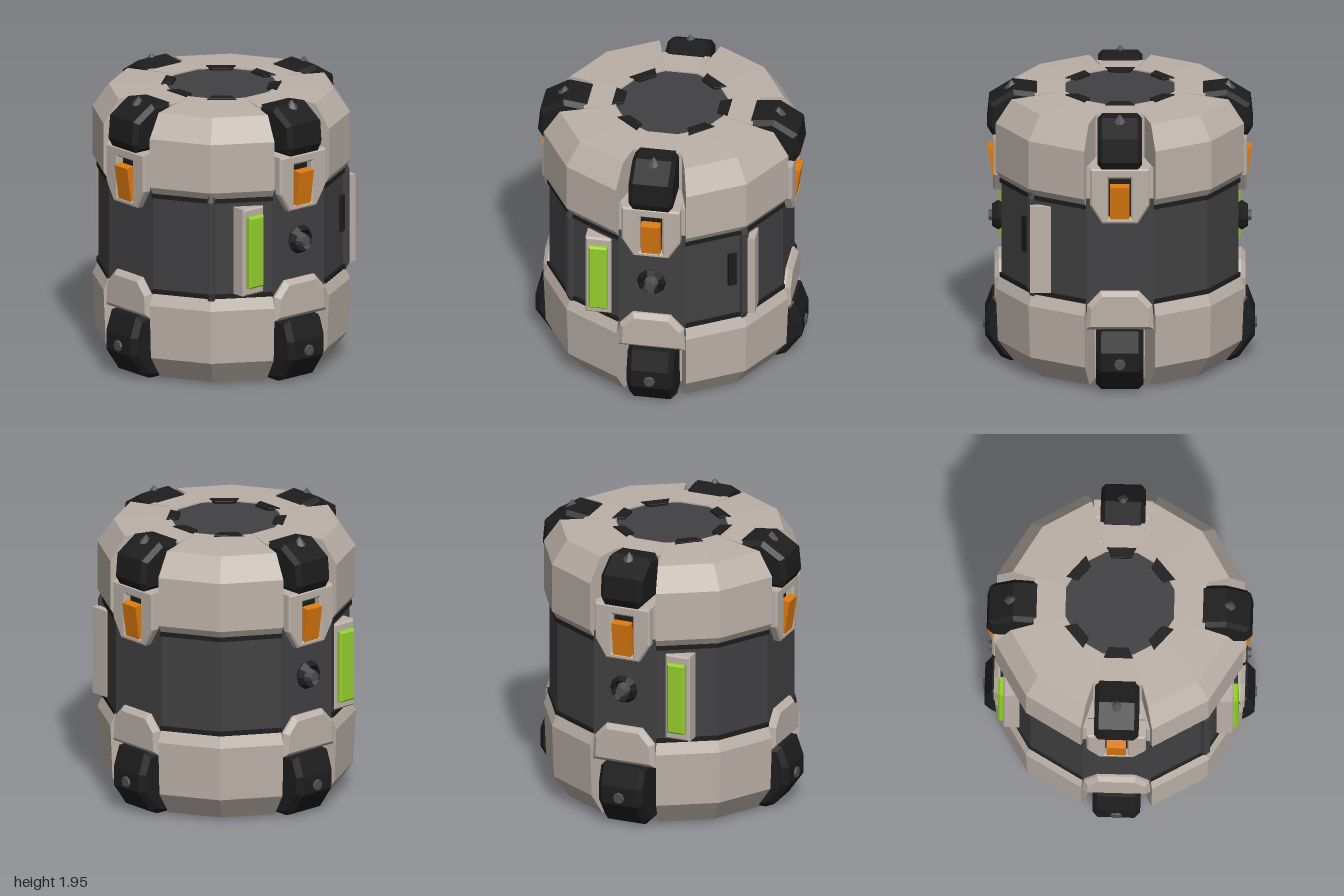
import * as THREE from 'three';

const mat = (name, color) => {
  const m = new THREE.MeshStandardMaterial({ color, flatShading: true });
  m.name = name;
  return m;
};
const rad = THREE.MathUtils.degToRad;

// Sweeps a counterclockwise (radius, height) profile through a list of angles, with end caps
function sector(profile, degrees) {
  const pos = [];
  const n = profile.length;
  const put = (i, a) => {
    const [r, y] = profile[i % n];
    pos.push(r * Math.sin(rad(a)), y, r * Math.cos(rad(a)));
  };
  for (let j = 0; j < degrees.length - 1; j++) {
    const a = degrees[j], b = degrees[j + 1];
    for (let i = 0; i < n; i++) {
      put(i, a); put(i, b); put(i + 1, b);
      put(i, a); put(i + 1, b); put(i + 1, a);
    }
  }
  const first = degrees[0], last = degrees[degrees.length - 1];
  for (let i = 1; i < n - 1; i++) {
    put(0, first); put(i, first); put(i + 1, first);
    put(0, last); put(i + 1, last); put(i, last);
  }
  const g = new THREE.BufferGeometry();
  g.setAttribute('position', new THREE.Float32BufferAttribute(pos, 3));
  g.computeVertexNormals();
  return g;
}

const shapeOf = (pts) => new THREE.Shape(pts.map(([x, y]) => new THREE.Vector2(x, y)));

// Extrudes a shape to a given total depth, starting at z = 0, with a chamfer inside its outline
function slab(shape, depth, bevel) {
  const g = new THREE.ExtrudeGeometry(shape, {
    depth: depth - 2 * bevel, bevelEnabled: true, bevelSegments: 1,
    bevelSize: bevel, bevelThickness: bevel, bevelOffset: -bevel,
  });
  return g.translate(0, 0, bevel);
}

// Chamfered block from a side profile in (z, y), centred on x
function sideBlock(pts, width, bevel) {
  return slab(shapeOf(pts), width, bevel).translate(0, 0, -width / 2).rotateY(-Math.PI / 2);
}

export function createModel() {
  const group = new THREE.Group();
  const shell = mat('warm grey shell', 0xbcb1a8);
  const dark = mat('dark grey core', 0x414143);
  const black = mat('black rubber', 0x1d1d1e);
  const green = mat('green lamp', 0x94cf2c);
  const orange = mat('orange latch', 0xdd7a10);
  const steel = mat('bolt grey', 0x4e4f52);

  const add = (parent, name, geometry, material, x = 0, y = 0, z = 0) => {
    const m = new THREE.Mesh(geometry, material);
    m.name = name;
    m.position.set(x, y, z);
    parent.add(m);
    return m;
  };

  // Profiles of the two armour bands and of the recesses behind the bumpers
  const upperBand = [[0.38, 1.4], [0.83, 1.37], [0.87, 1.43], [0.87, 1.77], [0.76, 1.93], [0.38, 1.95]];
  const lowerBand = [[0.38, 0.07], [0.74, 0.07], [0.855, 0.23], [0.87, 0.6], [0.83, 0.69], [0.38, 0.66]];
  const upperRecess = [[0.38, 1.4], [0.82, 1.4], [0.82, 1.64], [0.6, 1.64], [0.6, 1.945], [0.38, 1.95]];
  const lowerRecess = [[0.38, 0.68], [0.38, 0.07], [0.6, 0.075], [0.62, 0.5], [0.82, 0.5], [0.82, 0.68]];
  const coreProfile = [[0.3, 0.6], [0.83, 0.6], [0.83, 1.42], [0.3, 1.42]];

  // Latch frame with a slot
  const frame = shapeOf([[-0.2, 1.65], [-0.2, 1.39], [-0.12, 1.26], [0.12, 1.26], [0.2, 1.39], [0.2, 1.65]]);
  frame.holes.push(new THREE.Path([
    [-0.075, 1.3], [-0.075, 1.58], [0.075, 1.58], [0.075, 1.3],
  ].map(([x, y]) => new THREE.Vector2(x, y))));
  const frameGeo = slab(frame, 0.14, 0.012);
  const archGeo = slab(shapeOf([
    [-0.23, 0.5], [0.23, 0.5], [0.22, 0.67], [0.13, 0.77], [-0.13, 0.77], [-0.22, 0.67],
  ]), 0.24, 0.03);

  const upperBumper = sideBlock([
    [0.56, 1.65], [0.86, 1.65], [0.895, 1.71], [0.88, 1.87], [0.72, 1.97], [0.56, 1.95],
  ], 0.3, 0.03);
  const lowerBumper = sideBlock([
    [0.58, 0.05], [0.74, 0.05], [0.8, 0.075], [0.91, 0.23], [0.91, 0.36], [0.86, 0.5], [0.62, 0.52],
  ], 0.32, 0.035);

  // Four identical sides
  for (let i = 0; i < 4; i++) {
    const side = new THREE.Group();
    side.name = 'side' + (i + 1);
    side.rotation.y = i * Math.PI / 2;
    group.add(side);

    add(side, 'coreWall', sector(coreProfile, [-16, 16, 45, 74]), dark);
    add(side, 'upperBand', sector(upperBand, [16, 45, 74]), shell);
    add(side, 'lowerBand', sector(lowerBand, [16, 45, 74]), shell);
    add(side, 'upperRecess', sector(upperRecess, [-16, 16]), shell);
    add(side, 'lowerRecess', sector(lowerRecess, [-16, 16]), shell);
    add(side, 'latchFrame', frameGeo, shell, 0, 0, 0.715);
    add(side, 'latchSlot', new THREE.BoxGeometry(0.16, 0.29, 0.008), black, 0, 1.44, 0.8);
    add(side, 'lowerArch', archGeo, shell, 0, 0, 0.605);
    add(side, 'upperBumper', upperBumper, black);
    add(side, 'lowerBumper', lowerBumper, black);

    const latch = add(side, 'latch', new THREE.BoxGeometry(0.13, 0.24, 0.06), orange, 0, 1.415, 0.84);
    latch.rotation.x = 0.15;

    // Bolts in the bumpers
    add(side, 'upperBolt', new THREE.ConeGeometry(0.05, 0.06, 6), steel, 0, 1.97, 0.73);
    const bolt = add(side, 'lowerBolt', new THREE.CylinderGeometry(0.035, 0.045, 0.02, 8), steel, 0, 0.28, 0.912);
    bolt.rotation.x = Math.PI / 2;

    // Dark trim under the upper band and above the lower one
    for (const y of [0.695, 1.365])
      add(side, 'trim', sector([[0.7, y - 0.015], [0.845, y - 0.015], [0.845, y + 0.015], [0.7, y + 0.015]], [16, 45, 74]), black);
  }

  // Lids with small tabs round the upper rim
  add(group, 'topLid', new THREE.CylinderGeometry(0.395, 0.395, 0.1, 12), dark, 0, 1.89, 0);
  add(group, 'bottomLid', new THREE.CylinderGeometry(0.39, 0.39, 0.1, 12), dark, 0, 0.13, 0);
  for (const a of [40, 90, 140, 220, 270, 320]) {
    const tab = add(group, 'lidTab', slab(shapeOf([
      [-0.1, 0.395], [-0.065, 0.32], [0.065, 0.32], [0.1, 0.395],
    ]), 0.02, 0.002).rotateX(Math.PI / 2), black, 0, 1.957, 0);
    tab.rotation.y = rad(a);
  }

  // Lamps and round sockets on the front and the back
  for (const s of [1, -1]) {
    add(group, 'lampPlate', slab(shapeOf([
      [-0.09, -0.305], [0.09, -0.305], [0.09, 0.305], [-0.09, 0.305],
    ]), 0.12, 0.012), shell, -0.37, 1.015, s > 0 ? 0.655 : -0.775);
    add(group, 'lamp', slab(shapeOf([
      [-0.065, -0.25], [0.065, -0.25], [0.065, 0.25], [-0.065, 0.25],
    ]), 0.08, 0.012), green, -0.37, 1.015, s > 0 ? 0.73 : -0.81);

    const ring = add(group, 'socketRing', new THREE.TorusGeometry(0.075, 0.025, 4, 10), black, 0, 1.04, s * 0.82);
    ring.scale.z = 1.6;
    const pin = add(group, 'socketPin', new THREE.CylinderGeometry(0.035, 0.06, 0.1, 8), steel, 0, 1.04, s * 0.835);
    pin.rotation.x = s * Math.PI / 2;
  }

  // Slim upright ribs at the front corners
  for (const s of [1, -1]) {
    const rib = add(group, 'cornerRib', sideBlock([
      [0.7, 0.72], [0.82, 0.62], [0.865, 0.72], [0.865, 1.36], [0.84, 1.42], [0.7, 1.42],
    ], 0.05, 0.01), dark);
    rib.rotation.y = s * rad(45);
  }
  // Service panel and clip by the left front rib
  add(group, 'servicePanel', new THREE.BoxGeometry(0.05, 0.61, 0.14), shell, 0.645, 1.015, 0.535);
  const clip = add(group, 'clip', new THREE.BoxGeometry(0.06, 0.25, 0.03), black, 0.52, 1.08, 0.635);
  clip.rotation.y = rad(30);

  return group;
}
